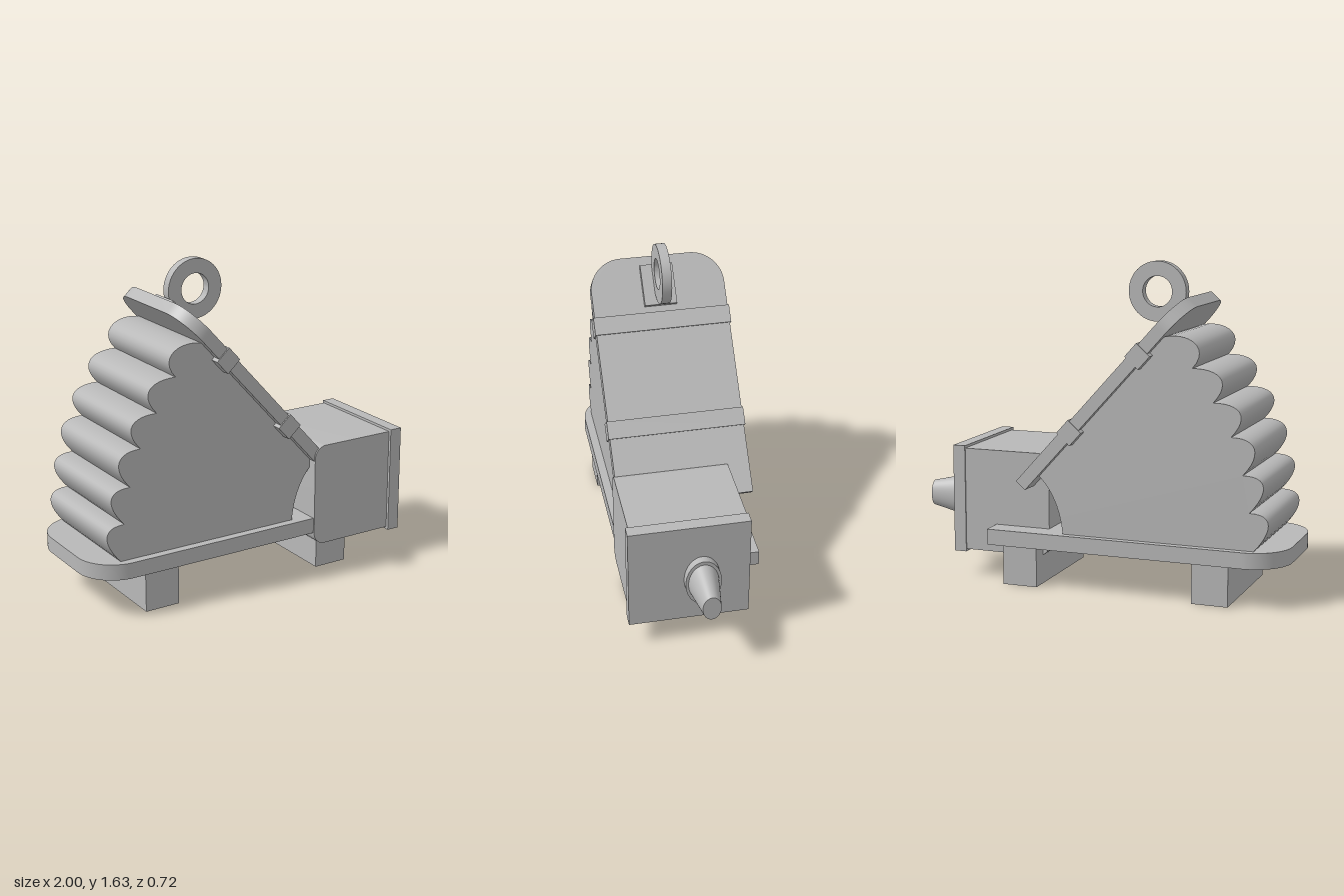
import * as THREE from 'three';
import { toCreasedNormals } from 'three/addons/utils/BufferGeometryUtils.js';

const grey = new THREE.MeshStandardMaterial({ color: 0xb8b8b8 });
grey.name = 'plain grey';

const Z0 = -0.351, Z1 = 0.335; // board edges

function add(parent, name, geometry, x = 0, y = 0, z = 0) {
  const mesh = new THREE.Mesh(geometry, grey);
  mesh.name = name;
  mesh.position.set(x, y, z);
  parent.add(mesh);
  return mesh;
}

// Box given by its limits on each axis
function addBox(parent, name, x0, x1, y0, y1, z0, z1) {
  return add(parent, name, new THREE.BoxGeometry(x1 - x0, y1 - y0, z1 - z0),
    (x0 + x1) / 2, (y0 + y1) / 2, (z0 + z1) / 2);
}

// Extrusion with smooth curves and sharp edges
function extrude(shape, depth, curveSegments = 12) {
  const geometry = new THREE.ExtrudeGeometry(shape, { depth, bevelEnabled: false, curveSegments });
  return toCreasedNormals(geometry, 0.6);
}

// Rectangle whose two corners at x0 are rounded
function roundedEnd(x0, x1, y0, y1, r) {
  const s = new THREE.Shape();
  s.moveTo(x1, y0);
  s.lineTo(x1, y1);
  s.lineTo(x0 + r, y1);
  s.absarc(x0 + r, y1 - r, r, Math.PI / 2, Math.PI, false);
  s.absarc(x0 + r, y0 + r, r, Math.PI, Math.PI * 1.5, false);
  s.closePath();
  return s;
}

// Flat board lying in x/z with its top at y = 0
function boardGeometry(x0, x1, r, thickness) {
  return extrude(roundedEnd(x0, x1, Z0, Z1, r), thickness).rotateX(Math.PI / 2);
}

// Scalloped leather folds with a hollow curve at the hinge end
function bellowsShape() {
  const notches = [[-0.845, 0.28], [-0.825, 0.47], [-0.79, 0.65], [-0.73, 0.83],
    [-0.64, 0.99], [-0.535, 1.15], [-0.375, 1.29]];
  const s = new THREE.Shape();
  s.moveTo(...notches[0]);
  for (let i = 1; i < notches.length; i++) {
    const [ax, ay] = notches[i - 1], [bx, by] = notches[i];
    const lift = i === 6 ? 0.04 : 0.005;
    s.bezierCurveTo(ax - 0.1, ay + 0.11, bx - 0.125, by + lift, bx, by);
  }
  s.lineTo(0.27, 0.58);
  s.quadraticCurveTo(0.15, 0.47, 0.135, 0.28);
  s.closePath();
  return s;
}

export function createModel() {
  const model = new THREE.Group();
  model.name = 'bellows';

  // Base board and feet
  add(model, 'baseBoard', boardGeometry(-1, 0.533, 0.2, 0.08), 0, 0.285, 0);
  for (const [x0, x1] of [[-0.727, -0.543], [0.275, 0.457]]) {
    addBox(model, 'foot', x0, x1, 0, 0.21, -0.324, 0.312);
  }

  // Folded body
  add(model, 'bellowsBody', extrude(bellowsShape(), 0.605), 0, 0, -0.313);

  // Tilted upper board: local x runs down its length, local y points out of it
  const lid = new THREE.Group();
  lid.name = 'upperBoard';
  lid.position.set(-0.47, 1.475, 0);
  lid.rotation.z = -Math.atan2(0.93, 0.84);
  model.add(lid);
  add(lid, 'lidBoard', boardGeometry(0, 1.253, 0.165, 0.064));
  for (const s of [0.337, 0.867]) {
    addBox(lid, 'strap', s - 0.045, s + 0.045, -0.083, 0.009, Z0 - 0.006, Z1 + 0.007);
  }
  addBox(lid, 'handlePad', 0.05, 0.26, -0.01, 0.028, -0.09, 0.075);

  // Ring handle
  const ring = new THREE.Shape().absarc(0, 0, 0.15, 0, Math.PI * 2, false);
  ring.holes.push(new THREE.Path().absarc(0, 0, 0.077, 0, Math.PI * 2, true));
  add(model, 'ringHandle', extrude(ring, 0.048, 24), -0.26, 1.485, -0.031);

  // Air block and its end plate
  add(model, 'airBlock', extrude(roundedEnd(0.24, 0.71, 0.14, 0.67, 0.065), 0.58), 0, 0, -0.237);
  addBox(model, 'endPlate', 0.705, 0.77, 0.127, 0.683, -0.243, 0.358);

  // Oval collar and tapered nozzle, pointing along +x
  const oval = (name, rTip, rRoot, x0, x1) => {
    const g = new THREE.CylinderGeometry(rTip, rRoot, x1 - x0, 48);
    g.rotateZ(-Math.PI / 2).scale(1, 1, 0.68);
    add(model, name, g, (x0 + x1) / 2, 0.371, -0.005);
  };
  oval('nozzleCollar', 0.131, 0.131, 0.765, 0.81);
  oval('nozzle', 0.067, 0.113, 0.8, 1);

  return model;
}
